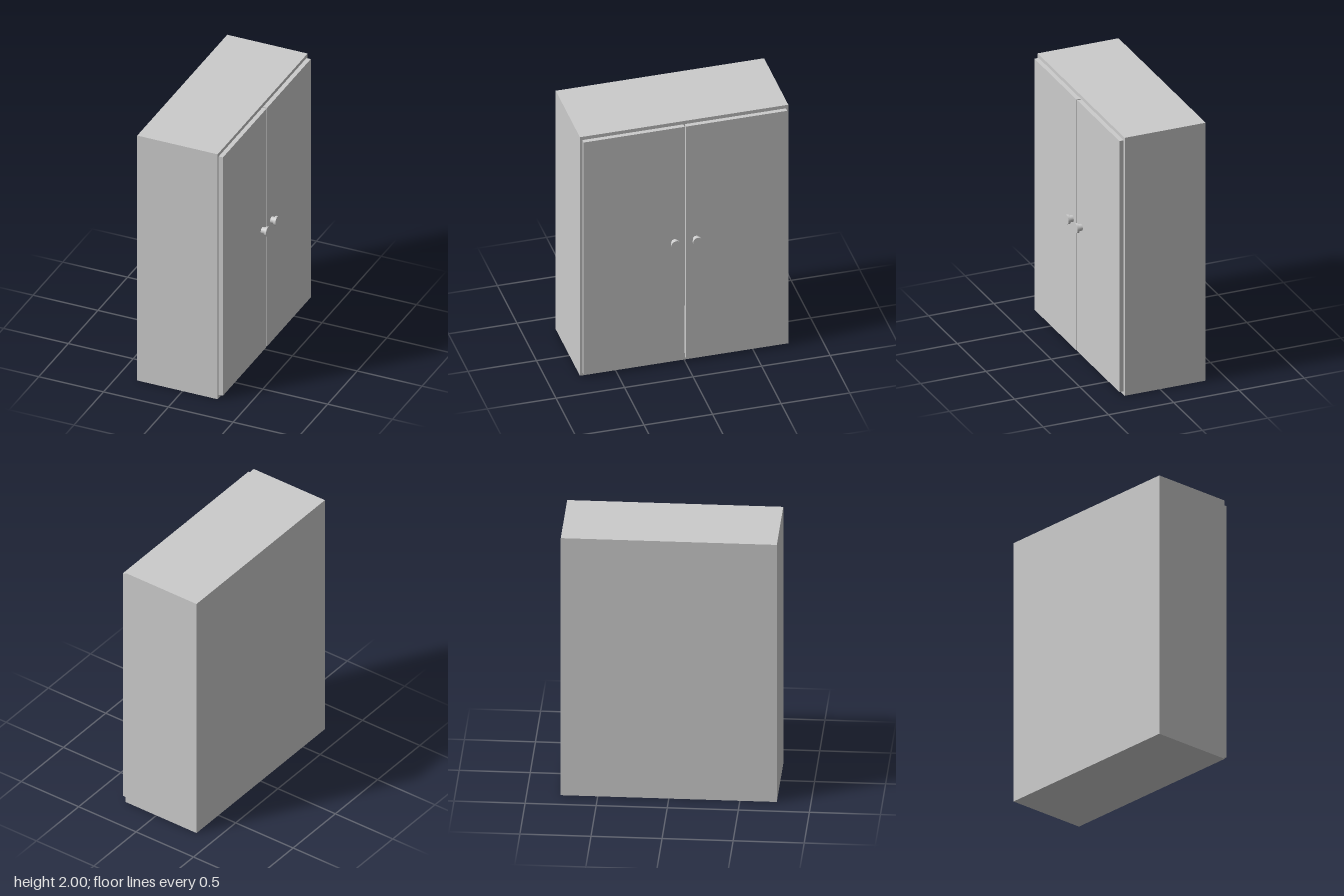
import * as THREE from 'three';

const material = new THREE.MeshStandardMaterial({ color: 0xcccccc });

// Overall measures
const BACK = -0.35, FRONT = 0.27, DOOR_FRONT = 0.303;
const HALF_WIDTH = 0.76, HEIGHT = 2, PANEL = 0.052;
const DOOR_MARGIN = 0.027, HALF_GAP = 0.005;

// Box given by its limits along each axis
function box(name, [x0, x1], [y0, y1], [z0, z1]) {
  const mesh = new THREE.Mesh(new THREE.BoxGeometry(x1 - x0, y1 - y0, z1 - z0), material);
  mesh.position.set((x0 + x1) / 2, (y0 + y1) / 2, (z0 + z1) / 2);
  mesh.name = name;
  return mesh;
}

// Disc-shaped part whose axis runs along x
function disc(name, radius, x0, x1) {
  const geometry = new THREE.CylinderGeometry(radius, radius, x1 - x0, 24).rotateZ(-Math.PI / 2);
  const mesh = new THREE.Mesh(geometry, material);
  mesh.position.x = (x0 + x1) / 2;
  mesh.name = name;
  return mesh;
}

// Hollow case, open towards the doors: one extruded frame plus a back panel
function createCase() {
  const group = new THREE.Group();
  group.name = 'case';
  const rectangle = (Type, w, y0, y1) => new Type([
    new THREE.Vector2(-w, y0), new THREE.Vector2(w, y0),
    new THREE.Vector2(w, y1), new THREE.Vector2(-w, y1),
  ]);
  const outline = rectangle(THREE.Shape, HALF_WIDTH, 0, HEIGHT);
  outline.holes.push(rectangle(THREE.Path, HALF_WIDTH - PANEL, PANEL, HEIGHT - PANEL));
  const geometry = new THREE.ExtrudeGeometry(outline, { depth: FRONT - BACK, bevelEnabled: false });
  const frame = new THREE.Mesh(geometry.rotateY(Math.PI / 2), material);
  frame.position.x = BACK;
  frame.name = 'caseFrame';
  const inner = HALF_WIDTH - PANEL;
  group.add(frame, box('backPanel', [BACK, BACK + 0.03], [PANEL, HEIGHT - PANEL], [-inner, inner]));
  return group;
}

// Door with its round knob near the meeting edge
function createDoor(side) {
  const group = new THREE.Group();
  group.name = side > 0 ? 'frontDoor' : 'rearDoor';
  const edges = [side * HALF_GAP, side * (HALF_WIDTH - 0.018)].sort((a, b) => a - b);
  const knob = new THREE.Group();
  knob.name = 'knob';
  knob.position.set(0, 1.02, side * 0.079);
  knob.add(disc('knobStem', 0.025, DOOR_FRONT, 0.331), disc('knobCap', 0.035, 0.331, 0.348));
  group.add(box('doorPanel', [FRONT, DOOR_FRONT], [DOOR_MARGIN, HEIGHT - DOOR_MARGIN], edges), knob);
  return group;
}

export function createModel() {
  const model = new THREE.Group();
  model.name = 'cabinet';
  model.add(createCase(), createDoor(1), createDoor(-1));
  return model;
}
